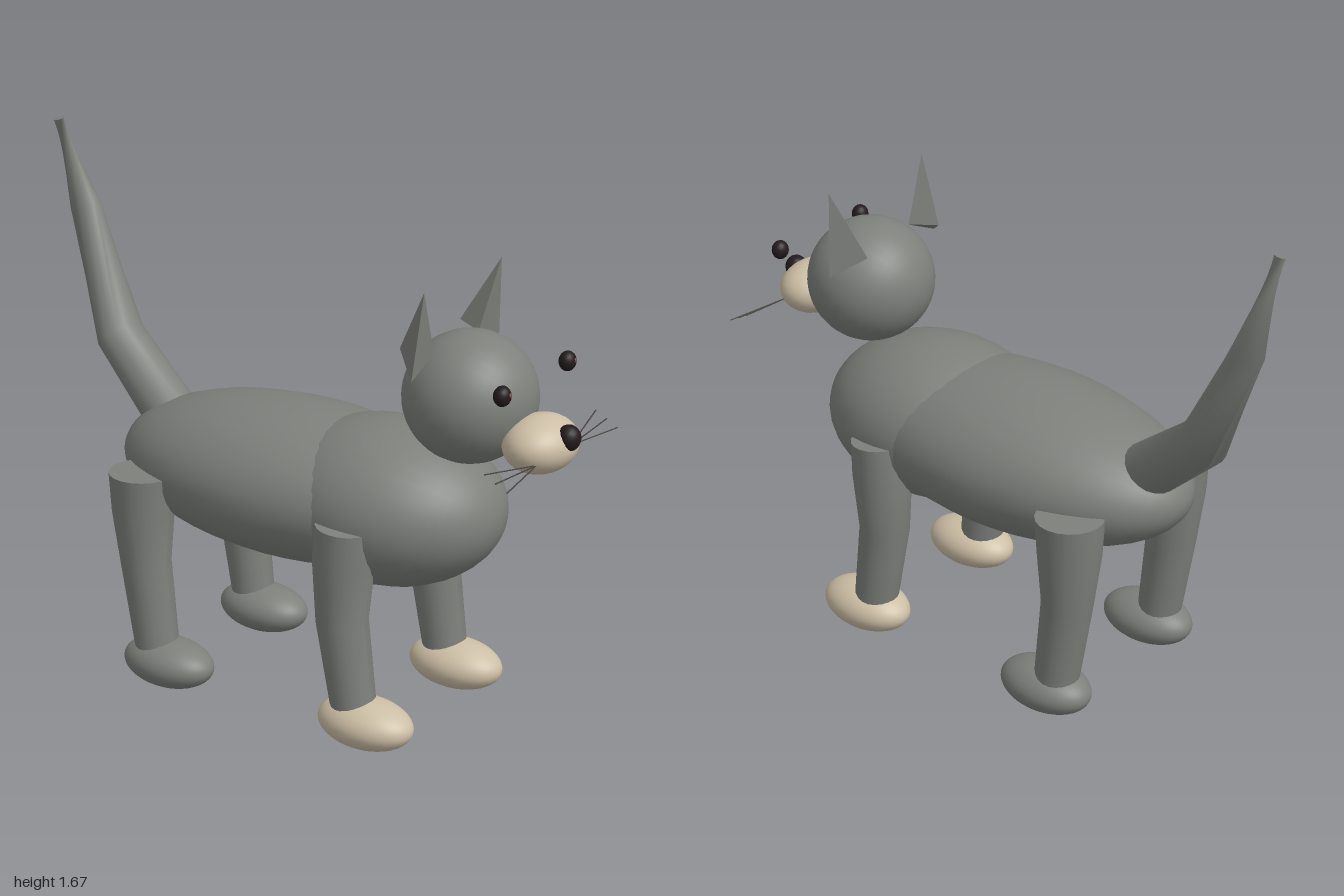
import * as THREE from 'three';
import { ConvexGeometry } from 'three/addons/geometries/ConvexGeometry.js';

const mat = (name, color) => {
  const m = new THREE.MeshStandardMaterial({ color });
  m.name = name;
  return m;
};

export function createModel() {
  const cat = new THREE.Group();
  cat.name = 'cat';
  const fur = mat('greyFur', 0x7d807b);
  const cream = mat('creamFur', 0xcdbfa6);
  const dark = mat('darkBrown', 0x231a1c);
  const glint = mat('eyeGlint', 0x7a4a48);
  const hair = mat('whiskerGrey', 0x4a463e);

  const add = (name, geometry, material) => {
    const mesh = new THREE.Mesh(geometry, material);
    mesh.name = name;
    cat.add(mesh);
    return mesh;
  };

  // Ellipsoid with its poles along z
  const ball = (name, material, [x, y, z], [rx, ry, rz], seg = 32) => {
    const g = new THREE.SphereGeometry(1, seg, seg * 0.75);
    g.rotateX(Math.PI / 2).scale(rx, ry, rz).translate(x, y, z);
    return add(name, g, material);
  };

  // Tapered, bent limb through rings of [x, y, z, radius]
  const limb = (name, material, rings, seg = 20) => {
    const n = rings.length - 1;
    const pts = rings.map(([x, y, z]) => new THREE.Vector3(x, y, z));
    const down = new THREE.Vector3(0, -1, 0);
    const turns = pts.map((p, i) => {
      const t = new THREE.Vector3();
      if (i > 0) t.add(p.clone().sub(pts[i - 1]).normalize());
      if (i < n) t.add(pts[i + 1].clone().sub(p).normalize());
      return new THREE.Quaternion().setFromUnitVectors(down, t.normalize());
    });
    const g = new THREE.CylinderGeometry(1, 1, 1, seg, n);
    const pos = g.attributes.position;
    const v = new THREE.Vector3();
    for (let k = 0; k < pos.count; k++) {
      const i = Math.round((0.5 - pos.getY(k)) * n);
      v.set(pos.getX(k), 0, pos.getZ(k)).multiplyScalar(rings[i][3]);
      v.applyQuaternion(turns[i]).add(pts[i]);
      pos.setXYZ(k, v.x, v.y, v.z);
    }
    g.computeVertexNormals();
    return add(name, g, material);
  };

  // Torso and head
  ball('body', fur, [0, 0.706, 0.015], [0.335, 0.238, 0.628]);
  ball('chest', fur, [0, 0.706, 0.35], [0.31, 0.254, 0.382]);
  ball('head', fur, [0, 1.095, 0.632], [0.203, 0.2, 0.203]);
  ball('muzzle', cream, [0, 1.0, 0.873], [0.132, 0.086, 0.106]);
  ball('nose', dark, [0, 1.035, 0.964], [0.036, 0.04, 0.036], 16);

  // Tail
  limb('tail', fur, [
    [0.02, 0.8, -0.49, 0.088],
    [0.07, 1.0, -0.73, 0.078],
    [0.155, 1.38, -0.93, 0.05],
    [0.098, 1.672, -0.984, 0.017],
  ]);

  for (const s of [1, -1]) {
    const side = s > 0 ? 'left' : 'right';

    // Legs and paws
    limb(side + 'FrontLeg', fur, [
      [s * 0.26, 0.71, 0.37, 0.092], [s * 0.26, 0.6, 0.364, 0.095],
      [s * 0.26, 0.4, 0.36, 0.08], [s * 0.26, 0.1, 0.408, 0.069],
    ]);
    limb(side + 'HindLeg', fur, [
      [s * 0.26, 0.71, -0.39, 0.106], [s * 0.26, 0.58, -0.39, 0.098],
      [s * 0.26, 0.41, -0.383, 0.08], [s * 0.26, 0.1, -0.34, 0.069],
    ]);
    ball(side + 'FrontPaw', cream, [s * 0.258, 0.085, 0.446], [0.105, 0.078, 0.16]);
    ball(side + 'HindPaw', fur, [s * 0.258, 0.085, -0.3], [0.105, 0.078, 0.16]);

    // Three-sided pointed ear
    add(side + 'Ear', new ConvexGeometry([
      new THREE.Vector3(s * 0.213, 1.46, 0.6),
      new THREE.Vector3(s * 0.243, 1.195, 0.58),
      new THREE.Vector3(s * 0.123, 1.25, 0.58),
      new THREE.Vector3(s * 0.165, 1.26, 0.49),
    ]), fur);

    // Eye with a small glint
    ball(side + 'Eye', dark, [s * 0.185, 1.193, 0.848], [0.028, 0.031, 0.026], 16);
    ball(side + 'EyeGlint', glint, [s * 0.185 + 0.004, 1.198, 0.871], [0.008, 0.008, 0.005], 8);

    // Whiskers fanning from the muzzle
    for (const [y, z] of [[1.005, 0.875], [0.985, 0.912], [0.965, 0.95]]) {
      const path = new THREE.LineCurve3(
        new THREE.Vector3(s * 0.1, 0.972, 0.918), new THREE.Vector3(s * 0.322, y, z));
      add(side + 'Whisker', new THREE.TubeGeometry(path, 1, 0.002, 6), hair);
    }
  }
  return cat;
}
